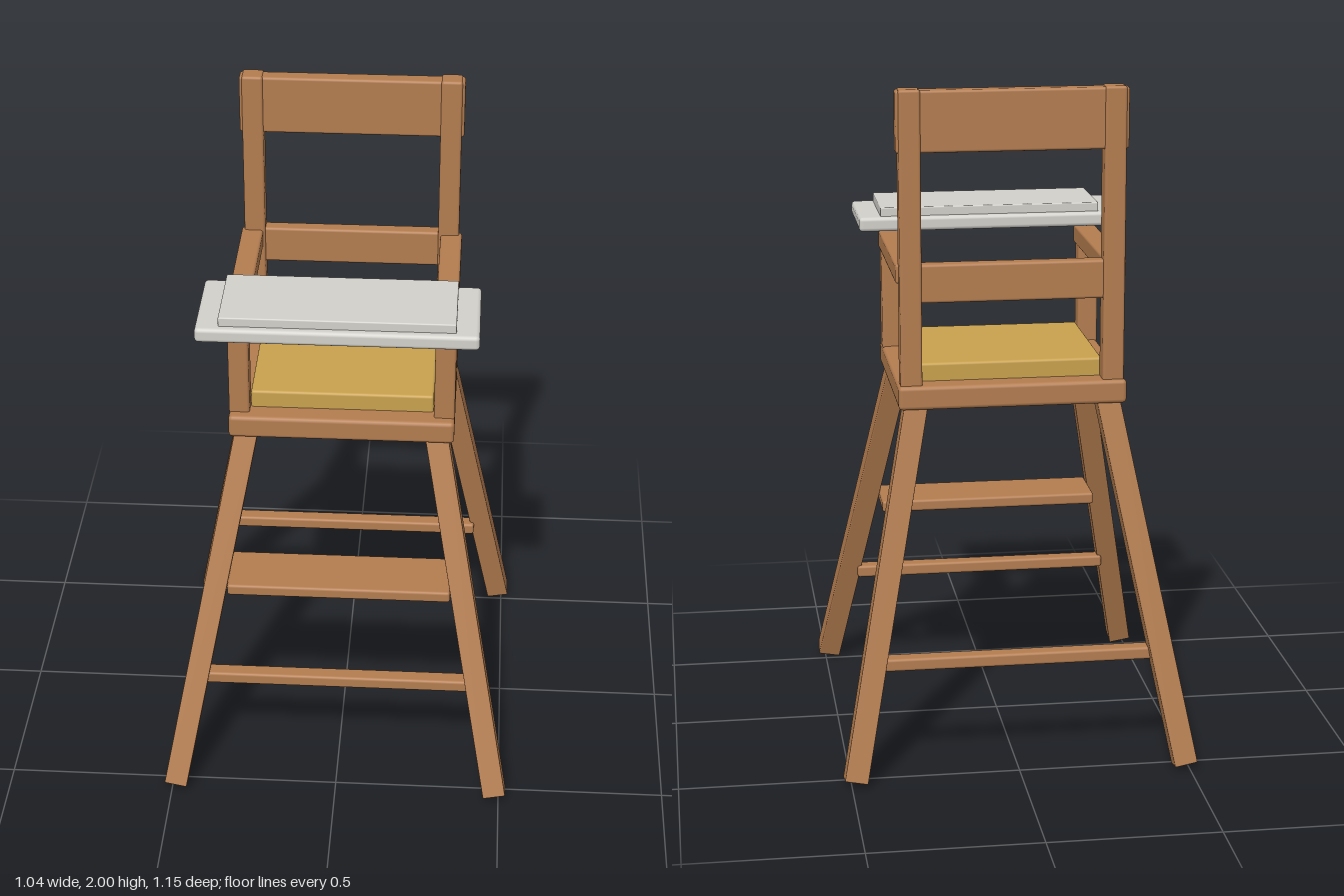
import * as THREE from 'three';
import { RoundedBoxGeometry } from 'three/addons/geometries/RoundedBoxGeometry.js';

const wood = new THREE.MeshStandardMaterial({ color: 0xb47d50 });
const fabric = new THREE.MeshStandardMaterial({ color: 0xc9a24e });
const plastic = new THREE.MeshStandardMaterial({ color: 0xd3d1cb });

export function createModel() {
  const model = new THREE.Group();
  model.name = 'highChair';

  // Softly rounded block given by its extents on each axis
  function block(name, [x0, x1], [y0, y1], [z0, z1], material = wood, radius = 0.008) {
    const geometry = new RoundedBoxGeometry(x1 - x0, y1 - y0, z1 - z0, 2, radius);
    const mesh = new THREE.Mesh(geometry, material);
    mesh.name = name;
    mesh.position.set((x0 + x1) / 2, (y0 + y1) / 2, (z0 + z1) / 2);
    model.add(mesh);
  }

  // Square splayed leg running from foot to top
  function leg(name, foot, top) {
    const axis = top.clone().sub(foot);
    const mesh = new THREE.Mesh(new RoundedBoxGeometry(0.068, axis.length(), 0.068, 2, 0.004), wood);
    mesh.name = name;
    mesh.position.copy(foot).add(top).multiplyScalar(0.5);
    mesh.quaternion.setFromUnitVectors(new THREE.Vector3(0, 1, 0), axis.normalize());
    model.add(mesh);
  }

  // Seat and cushion
  block('seat', [-0.333, 0.333], [1.077, 1.147], [-0.367, 0.23], wood, 0.012);
  block('cushion', [-0.27, 0.27], [1.14, 1.2], [-0.3, 0.165], fabric);

  // Legs, arms and posts, mirrored left and right
  for (const [side, s] of [['left', 1], ['right', -1]]) {
    const span = (a, b) => (s > 0 ? [a, b] : [-b, -a]);
    leg(side + 'FrontLeg', new THREE.Vector3(s * 0.488, 0.019, 0.543), new THREE.Vector3(s * 0.278, 1.1, 0.17));
    leg(side + 'BackLeg', new THREE.Vector3(s * 0.488, 0.014, -0.54), new THREE.Vector3(s * 0.278, 1.1, -0.312));
    block(side + 'ArmPost', span(0.272, 0.333), [1.14, 1.45], [0.135, 0.198]);
    block(side + 'Armrest', span(0.27, 0.335), [1.44, 1.497], [-0.315, 0.22]);
    block(side + 'BackPost', span(0.263, 0.326), [1.14, 2], [-0.353, -0.291]);
  }

  // Backrest
  block('headRail', [-0.334, 0.334], [1.82, 1.997], [-0.347, -0.297]);
  block('backRail', [-0.275, 0.275], [1.387, 1.5], [-0.345, -0.3]);

  // Footrest and stretchers between the legs
  block('footrest', [-0.335, 0.335], [0.6, 0.636], [0.18, 0.365]);
  block('frontStretcher', [-0.4, 0.4], [0.318, 0.356], [0.383, 0.433]);
  block('backStretcher', [-0.4, 0.4], [0.318, 0.356], [-0.467, -0.417]);

  // Tray with raised panel
  block('tray', [-0.4, 0.4], [1.506, 1.55], [0.123, 0.422], plastic, 0.012);
  block('trayPanel', [-0.334, 0.334], [1.54, 1.577], [0.141, 0.4], plastic, 0.004);

  return model;
}
